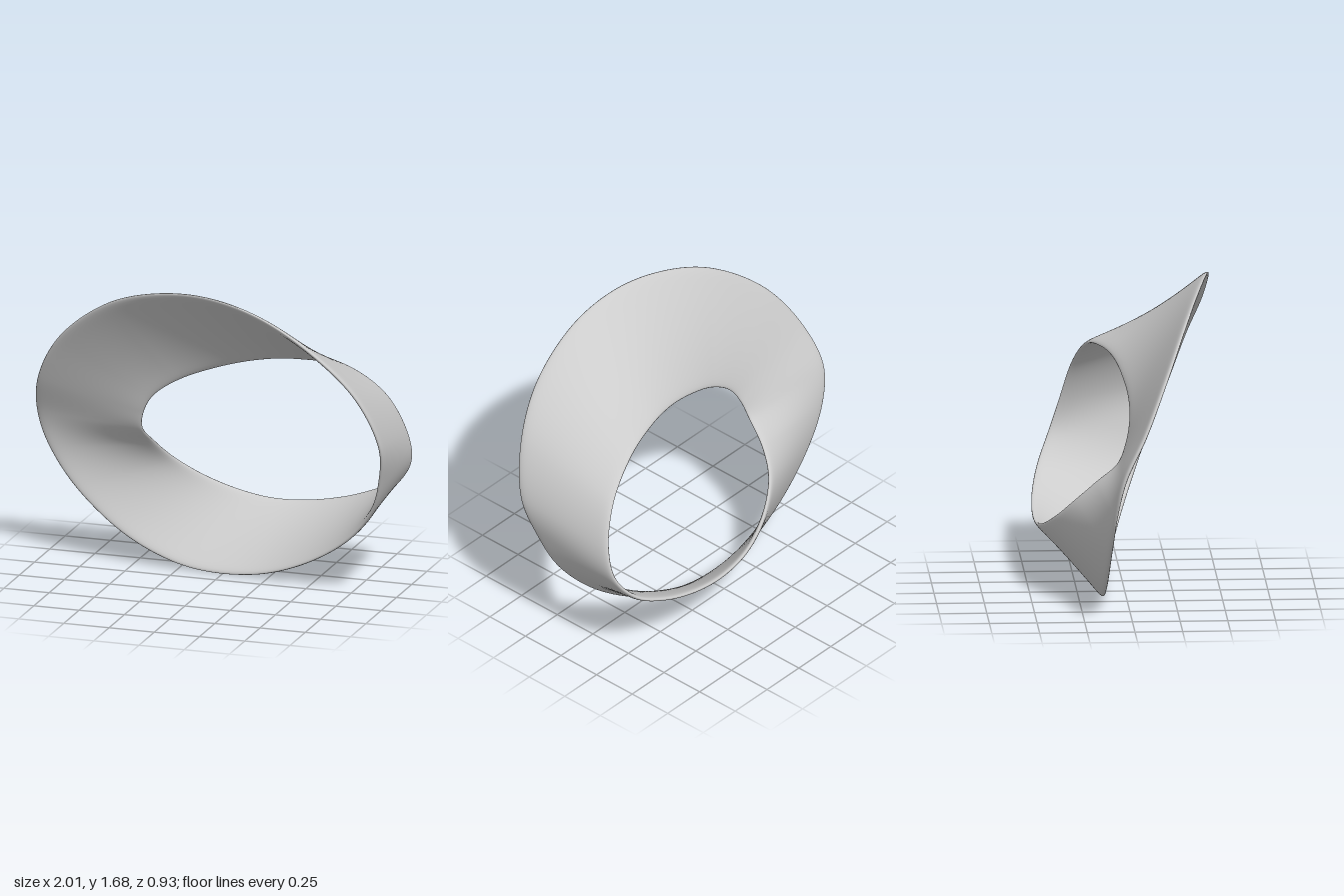
import * as THREE from 'three';

// Matching stations along the two rims: from the flat left side, over the top, round the right, under the bottom
const frontRimPoints = [
  [-1, 0.81, -0.05], [-0.96, 1.04, 0.06], [-0.8, 1.31, 0.18], [-0.5, 1.55, 0.3], [-0.2, 1.655, 0.38],
  [0.1, 1.675, 0.435], [0.4, 1.6, 0.46], [0.7, 1.41, 0.44], [0.9, 1.18, 0.37], [1, 0.9, 0.28],
  [0.97, 0.68, 0.19], [0.9, 0.49, 0.115], [0.73, 0.29, 0.03], [0.45, 0.11, -0.05], [0.15, 0.015, -0.1],
  [-0.2, 0.02, -0.12], [-0.52, 0.15, -0.12], [-0.8, 0.39, -0.11], [-0.95, 0.62, -0.09],
];
const backRimPoints = [
  [-0.42, 0.78, -0.05], [-0.4, 0.88, -0.01], [-0.34, 0.98, 0.01], [-0.2, 1.08, 0.01], [0, 1.16, -0.015],
  [0.2, 1.21, -0.05], [0.4, 1.225, -0.1], [0.64, 1.19, -0.17], [0.85, 1.04, -0.235], [0.955, 0.82, -0.295],
  [0.96, 0.65, -0.35], [0.86, 0.51, -0.41], [0.66, 0.41, -0.45], [0.4, 0.345, -0.465], [0.18, 0.335, -0.455],
  [0, 0.37, -0.43], [-0.18, 0.45, -0.37], [-0.32, 0.56, -0.28], [-0.39, 0.67, -0.17],
];

const closedCurve = (points) =>
  new THREE.CatmullRomCurve3(points.map((p) => new THREE.Vector3(...p)), true, 'centripetal');

// Lofts a thin band with rounded rims between two closed curves
function bandGeometry(outer, inner, halfThickness, segments, sides) {
  const positions = [];
  const indices = [];
  const step = 0.004;
  const wrap = (t) => (t + 1) % 1;
  const tangent = (curve, t) => curve.getPoint(wrap(t + step)).sub(curve.getPoint(wrap(t - step)));

  for (let i = 0; i < segments; i++) {
    const t = i / segments;
    const a = inner.getPoint(t);
    const b = outer.getPoint(t);
    const across = b.clone().sub(a);
    const tangentA = tangent(inner, t);
    const tangentB = tangent(outer, t);
    for (let j = 0; j < sides; j++) {
      const angle = (j / sides) * Math.PI * 2;
      const v = Math.cos(angle);
      const lift = halfThickness * Math.sign(Math.sin(angle)) * Math.sqrt(Math.max(0, 1 - v ** 16));
      const k = (v + 1) / 2;
      const normal = tangentA.clone().lerp(tangentB, k).cross(across).normalize();
      const p = a.clone().lerp(b, k).addScaledVector(normal, lift);
      positions.push(p.x, p.y, p.z);

      const i2 = (i + 1) % segments;
      const j2 = (j + 1) % sides;
      const p00 = i * sides + j, p01 = i * sides + j2;
      const p10 = i2 * sides + j, p11 = i2 * sides + j2;
      indices.push(p00, p01, p10, p01, p11, p10);
    }
  }
  const geometry = new THREE.BufferGeometry();
  geometry.setAttribute('position', new THREE.Float32BufferAttribute(positions, 3));
  geometry.setIndex(indices);
  geometry.computeVertexNormals();
  return geometry;
}

export function createModel() {
  const group = new THREE.Group();
  group.name = 'twistedRing';
  const band = new THREE.Mesh(
    bandGeometry(closedCurve(frontRimPoints), closedCurve(backRimPoints), 0.013, 228, 48),
    new THREE.MeshStandardMaterial({ color: 0xcccccc }),
  );
  band.name = 'twistedBand';
  group.add(band);
  return group;
}
